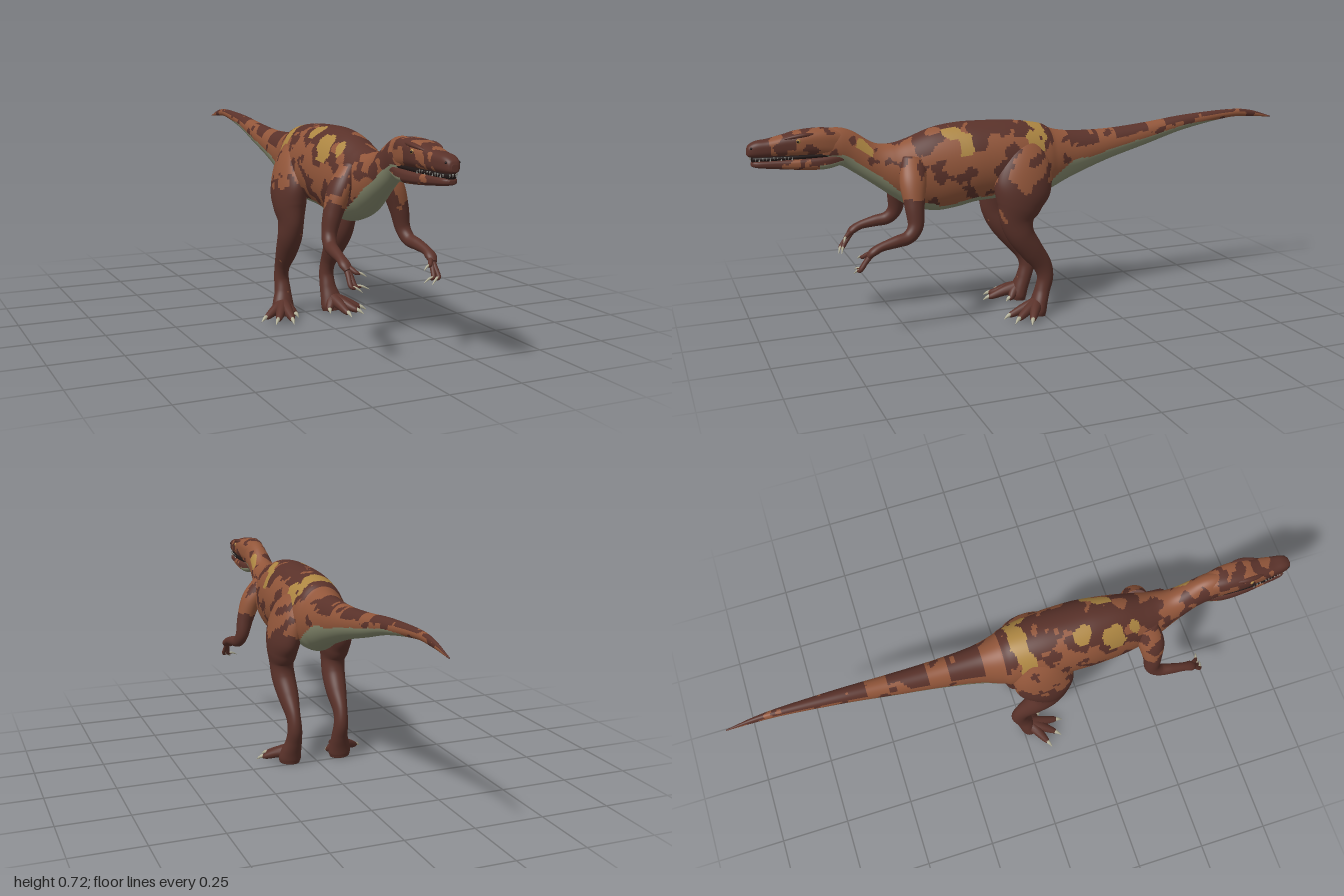
import * as THREE from 'three';
import { mergeGeometries } from 'three/addons/utils/BufferGeometryUtils.js';

const material = (name, color) => Object.assign(new THREE.MeshStandardMaterial({ color }), { name });

// Seeded smooth noise, 0..1, for the blotched hide
function hash(x, y, z) {
  const s = Math.sin(x * 127.1 + y * 311.7 + z * 74.7) * 43758.5453;
  return s - Math.floor(s);
}
function noise(x, y, z) {
  const i = [x, y, z].map(Math.floor);
  const f = [x - i[0], y - i[1], z - i[2]].map((t) => t * t * (3 - 2 * t));
  let sum = 0;
  for (let k = 0; k < 8; k++) {
    const o = [k & 1, (k >> 1) & 1, k >> 2];
    const w = o.reduce((p, on, n) => p * (on ? f[n] : 1 - f[n]), 1);
    sum += w * hash(i[0] + o[0], i[1] + o[1], i[2] + o[2]);
  }
  return sum;
}
// Two octaves on tilted axes, so blotches follow no grid
function mottle({ x, y, z }) {
  const a = x + 0.6 * y + 0.5 * z, b = y - 0.6 * x + 0.7 * z, c = z - 0.7 * y - 0.4 * x;
  return 0.7 * noise(a * 19 + 5, b * 19 + 8, c * 19 + 40) + 0.3 * noise(a * 38 + 3, b * 38, c * 38 + 20);
}

// Skin through sections [x, y, z, sideRadius, otherRadius].
// paint(point, v) returns a material index; v runs from -1 (underside) to 1 (top).
function loft(sections, { rings = 40, sides = 20, square = 1, upright = false, paint = () => 0 } = {}) {
  const curve = (pick) => new THREE.CatmullRomCurve3(sections.map((s) => new THREE.Vector3(...pick(s))), false, 'catmullrom', 0.5);
  const path = curve((s) => s.slice(0, 3)), radii = curve((s) => [s[3], s[4], 0]);
  const pos = [], heights = [], lists = [[], [], [], []];
  const shape = (t) => Math.sign(t) * Math.abs(t) ** square;
  for (let i = 0; i <= rings; i++) {
    const c = path.getPoint(i / rings), r = radii.getPoint(i / rings);
    const T = upright ? new THREE.Vector3(0, 0, 1) : path.getTangent(i / rings);
    const S = new THREE.Vector3(1, 0, 0).addScaledVector(T, -T.x).normalize();
    const U = T.clone().cross(S);
    for (let j = 0; j < sides; j++) {
      const a = (j / sides) * Math.PI * 2, v = shape(Math.sin(a));
      const p = c.clone().addScaledVector(S, shape(Math.cos(a)) * r.x).addScaledVector(U, v * r.y);
      pos.push(p.x, p.y, p.z);
      heights.push(v);
    }
  }
  const at = (n) => new THREE.Vector3().fromArray(pos, n * 3);
  for (let i = 0; i < rings; i++) {
    for (let j = 0; j < sides; j++) {
      const a = i * sides + j, b = i * sides + ((j + 1) % sides), c = a + sides, d = b + sides;
      const mid = at(a).add(at(d)).multiplyScalar(0.5);
      lists[paint(mid, (heights[a] + heights[b]) / 2)].push(a, b, c, b, d, c);
    }
  }
  // End caps
  for (const end of [0, rings]) {
    const centre = path.getPoint(end / rings), n = pos.length / 3;
    pos.push(centre.x, centre.y, centre.z);
    for (let j = 0; j < sides; j++) {
      const a = end * sides + j, b = end * sides + ((j + 1) % sides);
      lists[paint(centre, 0)].push(n, ...(end ? [a, b] : [b, a]));
    }
  }
  const g = new THREE.BufferGeometry();
  g.setAttribute('position', new THREE.Float32BufferAttribute(pos, 3));
  g.setIndex(lists.flat());
  let start = 0;
  lists.forEach((l, m) => {
    if (l.length) g.addGroup(start, l.length, m);
    start += l.length;
  });
  g.computeVertexNormals();
  return g;
}

// Sections from [z, top, bottom, halfWidth]
const profile = (rows) => rows.map(([z, t, b, w]) => [0, (t + b) / 2, z, w, (t - b) / 2]);

const DARK = 0, RUST = 1, GOLD = 2, BELLY = 3;
const lerp = THREE.MathUtils.lerp, smooth = THREE.MathUtils.smoothstep;

// Gold patches on the back: x, z, half width, half length
const patches = [
  [0, 0.005, 0.1, 0.027], [-0.085, 0.025, 0.03, 0.03], [0.085, 0.025, 0.03, 0.03], [-0.05, 0.22, 0.024, 0.032],
  [-0.082, 0.33, 0.032, 0.04], [-0.06, 0.41, 0.018, 0.02], [0.05, 0.32, 0.022, 0.036], [0.085, 0.28, 0.028, 0.024],
  [0.04, 0.62, 0.014, 0.03],
];
// Blotches: dark back, rusty flanks and neck, banded tail
function blotch(p, v) {
  const wobble = (noise(p.x * 40, p.y * 40, p.z * 40) - 0.5) * 0.9;
  if (v > 0.3 && patches.some(([x, z, w, l]) => Math.hypot((p.x - x) / w, (p.z - z) / l) + wobble < 1)) return GOLD;
  let bias = lerp(0.06, -0.13, smooth(v, 0.4, 0.85));
  if (p.z < -0.04) {
    const band = [-0.09, -0.28, -0.49].some((z) => Math.abs(p.z - z) < 0.036);
    bias = v > 0.4 ? (band ? 0.2 : -0.17) : 0.13;
  } else if (p.z > 0.5) bias = 0.07;
  return mottle(p) + bias > 0.5 ? RUST : DARK;
}
function bodyPaint(p, v) {
  let limit = lerp(-0.2, -0.78, smooth(p.z, -0.15, 0.05));
  limit = lerp(limit, -0.35, smooth(p.z, 0.42, 0.6));
  limit = lerp(-1.1, limit, smooth(p.z, -0.85, -0.6));
  limit += (noise(p.x * 20, 3, p.z * 25) - 0.5) * 0.15;
  return v < limit ? BELLY : blotch(p, v);
}
const headPaint = (p) => (mottle(p) > 0.47 + smooth(p.z, 0.87, 0.95) * 0.22 ? RUST : DARK);
const jawPaint = (p, v) => (p.z < 0.775 && v < -0.3 ? BELLY : mottle(p) > 0.56 + smooth(p.z, 0.87, 0.95) * 0.2 ? RUST : DARK);
// Limbs are dark, with blotches on the outside above a height
const limbPaint = (low) => (p) =>
  (Math.abs(p.x) > 0.08 && mottle(p) > 0.44 + (1 - smooth(p.y, low, low + 0.08)) * 0.4 ? RUST : DARK);

export function createModel() {
  const model = new THREE.Group();
  model.name = 'dinosaur';
  const dark = material('dark brown hide', 0x5a322a);
  const hide = [dark, material('rust hide', 0x92563a), material('gold patch', 0xad8642), material('belly green grey', 0x868a6e)];
  const claw = material('claw bone', 0xb3b098);
  const tooth = material('tooth grey', 0x8f8f88);
  const black = material('mouth black', 0x1e1514);
  const add = (name, geometry, mat, parent = model) => {
    const mesh = new THREE.Mesh(geometry, mat);
    mesh.name = name;
    parent.add(mesh);
  };
  const group = (name) => {
    const g = new THREE.Group();
    g.name = name;
    model.add(g);
    return g;
  };

  // Tail, trunk and neck in one skin
  add('body', loft(profile([
    [-1, 0.653, 0.649, 0.002], [-0.9, 0.683, 0.658, 0.009], [-0.8, 0.69, 0.658, 0.015],
    [-0.61, 0.68, 0.625, 0.026], [-0.45, 0.662, 0.58, 0.036], [-0.29, 0.65, 0.535, 0.047],
    [-0.15, 0.652, 0.485, 0.062], [-0.07, 0.665, 0.45, 0.082], [-0.02, 0.688, 0.43, 0.098],
    [0.09, 0.705, 0.43, 0.112], [0.22, 0.71, 0.425, 0.115], [0.3, 0.708, 0.41, 0.109],
    [0.38, 0.695, 0.405, 0.099], [0.465, 0.665, 0.43, 0.085], [0.52, 0.652, 0.465, 0.07],
    [0.58, 0.658, 0.51, 0.053], [0.65, 0.702, 0.56, 0.043], [0.7, 0.718, 0.59, 0.043], [0.76, 0.715, 0.592, 0.04],
  ]), { rings: 342, sides: 96, upright: true, paint: bodyPaint }), hide);

  // Head
  const head = group('head');
  add('skull', loft(profile([
    [0.69, 0.71, 0.615, 0.036], [0.75, 0.72, 0.628, 0.046], [0.82, 0.718, 0.634, 0.048], [0.87, 0.708, 0.635, 0.041],
    [0.93, 0.695, 0.636, 0.034], [0.97, 0.69, 0.637, 0.028], [0.993, 0.678, 0.64, 0.02], [1, 0.665, 0.645, 0.01],
  ]), { rings: 84, sides: 56, square: 0.72, upright: true, paint: headPaint }), hide, head);
  add('lowerJaw', loft(profile([
    [0.69, 0.64, 0.595, 0.036], [0.75, 0.635, 0.583, 0.045], [0.83, 0.63, 0.587, 0.043], [0.9, 0.629, 0.594, 0.035],
    [0.96, 0.627, 0.601, 0.028], [0.98, 0.625, 0.605, 0.02], [0.988, 0.62, 0.609, 0.01],
  ]), { rings: 70, sides: 48, square: 0.72, upright: true, paint: jawPaint }), hide, head);
  add('mouth', loft(profile([
    [0.72, 0.64, 0.625, 0.038], [0.83, 0.64, 0.625, 0.041], [0.92, 0.64, 0.624, 0.032], [0.985, 0.64, 0.622, 0.015],
  ]), { sides: 16, square: 0.6, upright: true }), black, head);

  // Teeth along the jaw edge
  const teeth = [];
  const addTooth = (x, z, up) => teeth.push(new THREE.ConeGeometry(0.003, 0.011, 5).rotateX(up ? 0 : Math.PI).translate(x, 0.632, z));
  for (let i = 0; i < 11; i++) {
    for (const s of [-1, 1]) addTooth(s * lerp(0.039, 0.023, i / 10), 0.86 + i * 0.0115, i % 3 === 0);
  }
  for (const x of [-0.01, 0, 0.01]) addTooth(x, 0.99, false);
  add('teeth', mergeGeometries(teeth), tooth, head);

  for (const s of [1, -1]) {
    const side = s > 0 ? 'left' : 'right';
    const flip = (rows) => rows.map(([x, ...rest]) => [x * s, ...rest]);
    const bead = (name, r, x, y, z, mat) => add(side + name, new THREE.SphereGeometry(r, 14, 10).translate(s * x, y, z), mat, head);

    // Eye, brow and nostril
    bead('Eye', 0.008, 0.042, 0.687, 0.838, hide[GOLD]);
    bead('Pupil', 0.004, 0.048, 0.687, 0.841, black);
    bead('Nostril', 0.004, 0.021, 0.67, 0.986, black);
    add(side + 'Brow', loft(flip([[0.034, 0.706, 0.78, 0.005, 0.004], [0.037, 0.705, 0.82, 0.01, 0.008],
      [0.034, 0.7, 0.86, 0.008, 0.006], [0.028, 0.693, 0.89, 0.002, 0.002]]), { rings: 16, sides: 12 }), dark, head);

    // Tapering digits with a claw on each: tip of the flesh, then tip of the claw
    const digits = (list, root, r0, r1, arch, name, parent) => list.forEach(([tip, point], i) => {
      const mid = root.map((c, k) => (c + tip[k]) / 2 + (k === 1 ? arch : 0));
      const bend = tip.map((c, k) => lerp(c, point[k], 0.5) + (k === 1 ? 0.004 : 0));
      const r = (r0 + r1) / 2;
      add(name + (i + 1), loft(flip([[...root, r0, r0], [...mid, r, r],
        [...tip, r1, r1], [...bend, r1 * 0.4, r1 * 0.4]]), { rings: 18, sides: 14 }), dark, parent);
      add(name + 'Claw' + (i + 1), loft(flip([[...tip, r1 * 0.75, r1 * 0.75], [...bend, r1 * 0.55, r1 * 0.55],
        [...point, 0.0008, 0.0008]]), { rings: 10, sides: 10 }), claw, parent);
    });

    // Hind leg
    const leg = group(side + 'HindLeg');
    add('thighAndShin', loft(flip([
      [0.05, 0.63, 0.03, 0.035, 0.06], [0.082, 0.56, 0.055, 0.05, 0.095], [0.1, 0.48, 0.078, 0.054, 0.106],
      [0.103, 0.42, 0.092, 0.052, 0.085], [0.102, 0.365, 0.1, 0.042, 0.063], [0.099, 0.31, 0.085, 0.042, 0.05],
      [0.095, 0.25, 0.045, 0.037, 0.043], [0.093, 0.19, 0.002, 0.026, 0.035], [0.091, 0.14, -0.012, 0.026, 0.03],
      [0.091, 0.09, 0, 0.03, 0.028], [0.096, 0.05, 0.014, 0.038, 0.03], [0.099, 0.022, 0.022, 0.042, 0.032], [0.1, 0.004, 0.024, 0.038, 0.03],
    ]), { rings: 120, sides: 48, paint: limbPaint(0.45) }), hide, leg);
    digits([
      [[0.177, 0.02, 0.068], [0.209, 0.006, 0.085]], [[0.15, 0.019, 0.105], [0.174, 0.005, 0.135]],
      [[0.108, 0.019, 0.122], [0.114, 0.005, 0.156]], [[0.07, 0.018, 0.06], [0.064, 0.006, 0.082]],
    ], [0.1, 0.045, 0.025], 0.026, 0.012, 0.003, 'toe', leg);

    // Arm
    const arm = group(side + 'Arm');
    add('armAndHand', loft(flip([
      [0.055, 0.6, 0.455, 0.028, 0.045], [0.095, 0.53, 0.472, 0.037, 0.046], [0.12, 0.455, 0.476, 0.032, 0.034],
      [0.134, 0.39, 0.478, 0.025, 0.027], [0.142, 0.355, 0.505, 0.022, 0.023], [0.149, 0.345, 0.55, 0.019, 0.02],
      [0.153, 0.334, 0.6, 0.016, 0.015], [0.153, 0.32, 0.63, 0.019, 0.014], [0.15, 0.305, 0.648, 0.013, 0.009],
    ]), { rings: 80, sides: 36, paint: limbPaint(0.42) }), hide, arm);
    digits([
      [[0.13, 0.3, 0.662], [0.102, 0.288, 0.675]], [[0.138, 0.262, 0.672], [0.096, 0.25, 0.685]],
      [[0.155, 0.262, 0.676], [0.122, 0.243, 0.692]],
    ], [0.152, 0.316, 0.632], 0.01, 0.007, 0.002, 'finger', arm);
  }
  return model;
}
